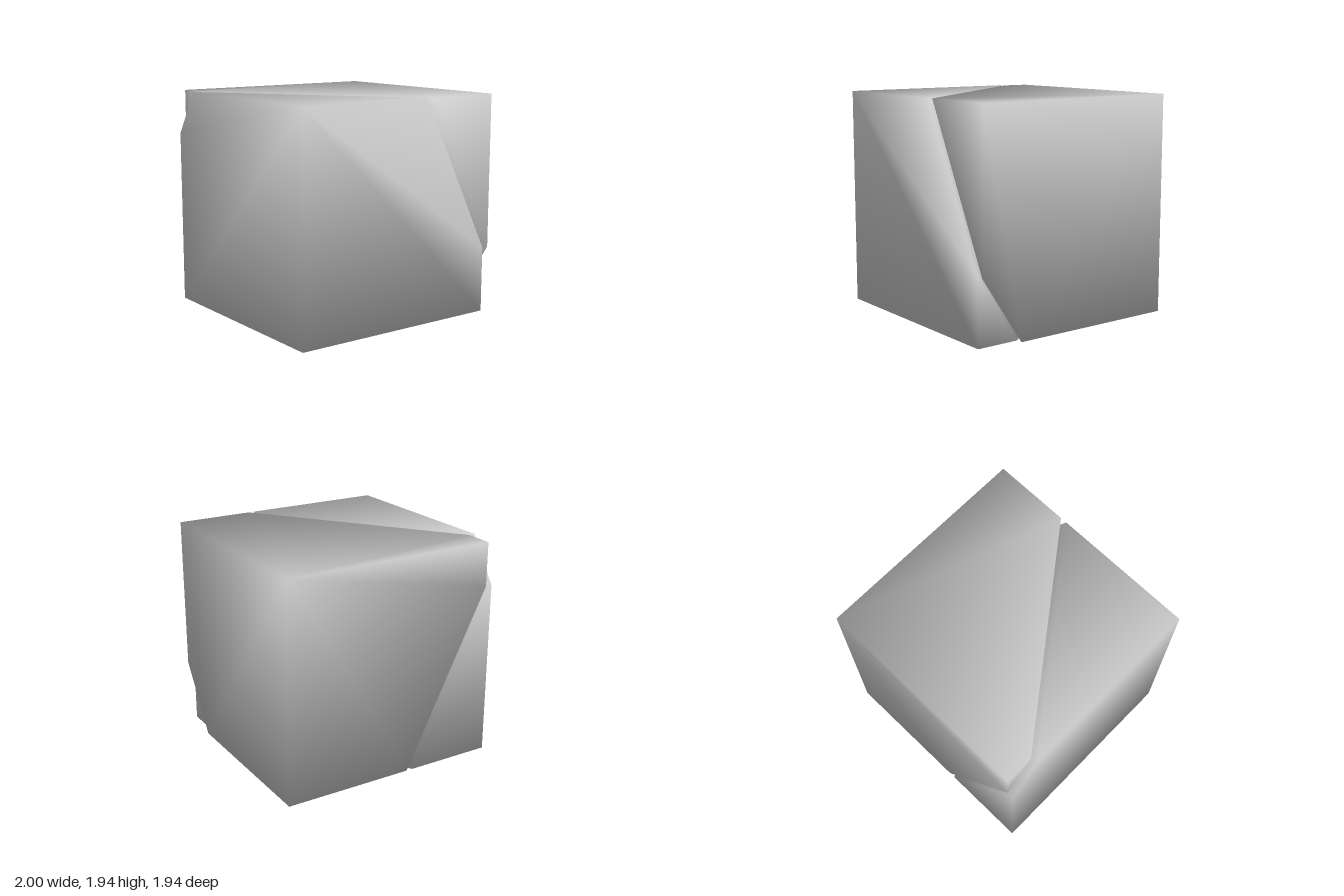
import * as THREE from 'three';

const H = 0.97;                                    // half the cube's side
const GAP = 0.03;                                  // each half is moved this far along x
const CUT = new THREE.Plane(new THREE.Vector3(2, 1, -1.5), -0.095);

// The six faces of the whole cube, corners counter-clockwise from outside
function cubeFaces() {
  const faces = [];
  for (let i = 0; i < 3; i++) for (const s of [1, -1]) {
    const face = [[-H, H], [-H, -H], [H, -H], [H, H]].map(([u, v]) =>
      new THREE.Vector3().setComponent(i, s * H)
        .setComponent((i + 1) % 3, u).setComponent((i + 2) % 3, v));
    faces.push(s > 0 ? face : face.reverse());
  }
  return faces;
}

// Keep the part of a face on one side of the cut; collect the points on the cut
function clipFace(face, side, rim) {
  const out = [];
  face.forEach((a, k) => {
    const b = face[(k + 1) % face.length];
    const da = side * CUT.distanceToPoint(a), db = side * CUT.distanceToPoint(b);
    if (da <= 0) out.push(a);
    if (da * db < 0) {
      const p = a.clone().lerp(b, da / (da - db));
      out.push(p);
      rim.push(p);
    }
  });
  return out;
}

// Order the rim points counter-clockwise around the outward cut normal
function capFace(rim, normal) {
  const centre = rim.reduce((c, p) => c.add(p), new THREE.Vector3()).divideScalar(rim.length);
  const e1 = rim[0].clone().sub(centre).normalize();
  const e2 = normal.clone().cross(e1).normalize();
  const angle = p => {
    const d = p.clone().sub(centre);
    return Math.atan2(d.dot(e2), d.dot(e1));
  };
  const points = rim.filter((p, i) => rim.findIndex(q => q.distanceTo(p) < 1e-4) === i);
  return points.sort((a, b) => angle(a) - angle(b));
}

// Closed half with shared corners and normals averaged by corner angle
function halfGeometry(side) {
  const rim = [];
  const faces = cubeFaces().map(f => clipFace(f, side, rim)).filter(f => f.length > 2);
  faces.push(capFace(rim, CUT.normal.clone().multiplyScalar(side)));

  const points = [], normals = [], index = [];
  const shared = p => {
    let i = points.findIndex(q => q.distanceTo(p) < 1e-4);
    if (i < 0) {
      i = points.push(p) - 1;
      normals.push(new THREE.Vector3());
    }
    return i;
  };
  for (const face of faces) {
    const ids = face.map(shared), n = face.length;
    const normal = face[1].clone().sub(face[0]).cross(face[2].clone().sub(face[0])).normalize();
    face.forEach((p, k) => {
      const a = face[(k + 1) % n].clone().sub(p), b = face[(k + n - 1) % n].clone().sub(p);
      normals[ids[k]].addScaledVector(normal, a.angleTo(b));
    });
    for (let k = 1; k < n - 1; k++) index.push(ids[0], ids[k], ids[k + 1]);
  }
  normals.forEach(v => v.normalize());

  const geometry = new THREE.BufferGeometry();
  geometry.setAttribute('position', new THREE.Float32BufferAttribute(points.flatMap(p => p.toArray()), 3));
  geometry.setAttribute('normal', new THREE.Float32BufferAttribute(normals.flatMap(p => p.toArray()), 3));
  geometry.setIndex(index);
  return geometry;
}

export function createModel() {
  const group = new THREE.Group();
  group.name = 'splitCube';
  const material = new THREE.MeshStandardMaterial({ color: 0xcccccc });
  // Lower front half and upper back half, pulled apart sideways
  for (const [name, side] of [['lowerFrontHalf', 1], ['upperBackHalf', -1]]) {
    const half = new THREE.Mesh(halfGeometry(side), material);
    half.name = name;
    half.position.set(-side * GAP, H, 0);
    group.add(half);
  }
  return group;
}
